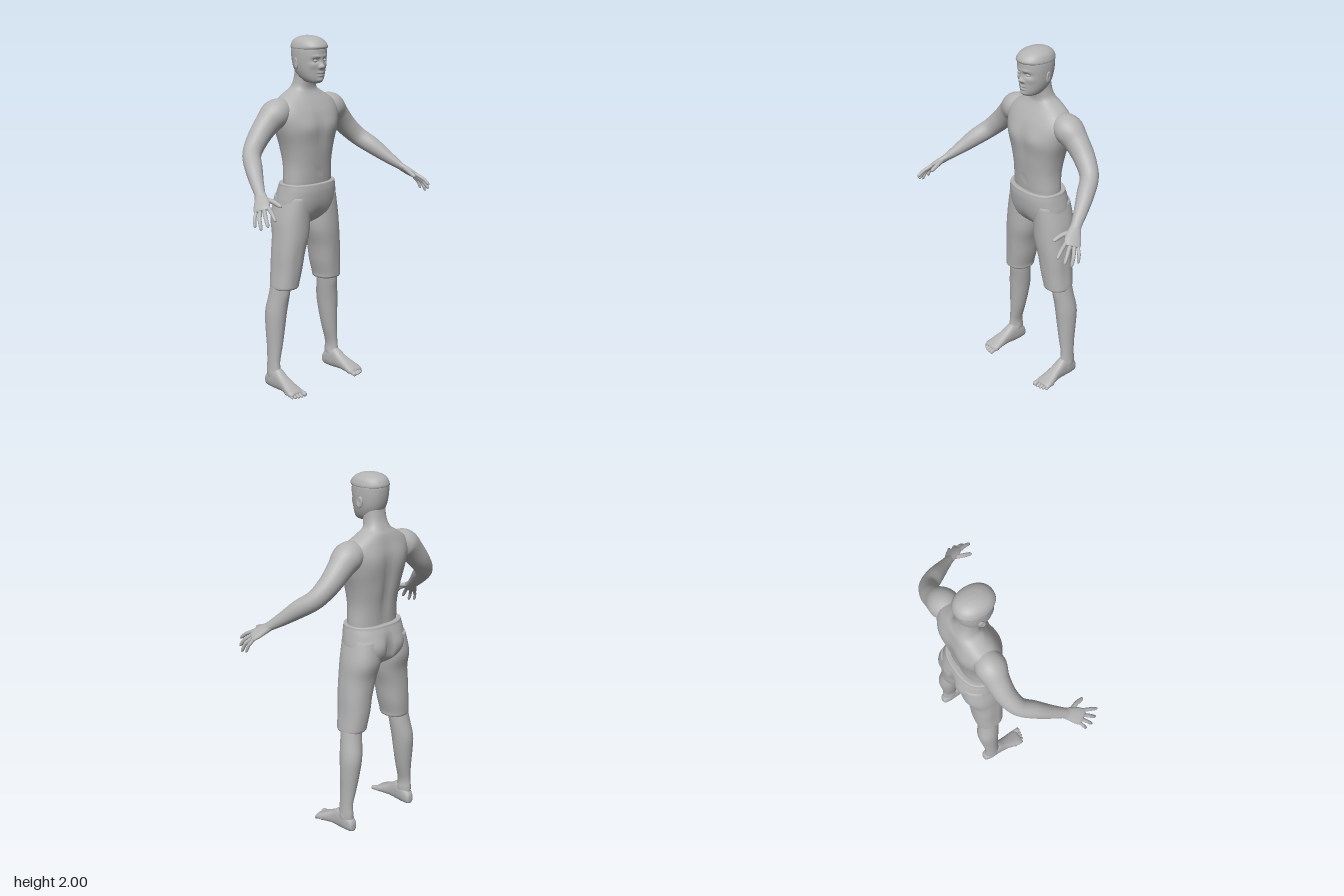
import * as THREE from 'three';

const V = (x, y, z) => new THREE.Vector3(x, y, z);
const UP = V(0, 1, 0), SIDE = V(1, 0, 0), FORWARD = V(0, 0, 1);

// Catmull-Rom resampling of section rows
function resample(rows, per) {
  const out = [], n = rows.length - 1;
  for (let i = 0; i < n; i++) {
    const [a, b, c, d] = [rows[Math.max(i - 1, 0)], rows[i], rows[i + 1], rows[Math.min(i + 2, n)]];
    for (let k = 0; k < per; k++) {
      const t = k / per;
      out.push(b.map((p, j) => {
        const cubic = 3 * (p - c[j]) + d[j] - a[j];
        const square = 2 * a[j] - 5 * p + 4 * c[j] - d[j];
        return p + 0.5 * t * (c[j] - a[j] + t * (square + t * cubic));
      }));
    }
  }
  out.push(rows[n]);
  return out;
}

// Skin over elliptical sections [x, y, z, halfWidth, halfDepth], closed at both ends
function loft(rows, { per = 4, seg = 24, ref = SIDE, axis = null, square = 1 } = {}) {
  const secs = resample(rows, per), pos = [], idx = [], n = secs.length;
  const centre = (i) => V(secs[i][0], secs[i][1], secs[i][2]);
  const power = (c) => Math.sign(c) * Math.abs(c) ** square;
  for (let i = 0; i < n; i++) {
    const c = centre(i);
    const t = axis ?? centre(Math.min(i + 1, n - 1)).sub(centre(Math.max(i - 1, 0))).normalize();
    const u = ref.clone().addScaledVector(t, -ref.dot(t)).normalize();
    const v = t.clone().cross(u);
    for (let j = 0; j < seg; j++) {
      const th = (j / seg) * Math.PI * 2;
      const p = c.clone().addScaledVector(u, secs[i][3] * power(Math.cos(th)))
        .addScaledVector(v, secs[i][4] * power(Math.sin(th)));
      pos.push(p.x, p.y, p.z);
    }
  }
  for (let i = 0; i < n - 1; i++) for (let j = 0; j < seg; j++) {
    const a = i * seg + j, b = i * seg + (j + 1) % seg;
    idx.push(a, b, a + seg, b, b + seg, a + seg);
  }
  const first = n * seg, last = (n - 1) * seg;
  pos.push(...centre(0).toArray(), ...centre(n - 1).toArray());
  for (let j = 0; j < seg; j++) {
    const k = (j + 1) % seg;
    idx.push(first, k, j, first + 1, last + j, last + k);
  }
  const g = new THREE.BufferGeometry();
  g.setAttribute('position', new THREE.Float32BufferAttribute(pos, 3));
  g.setIndex(idx);
  g.computeVertexNormals();
  return g;
}

// Upright form from rows [y, halfWidth, zFront, zBack], or [y, halfWidth, zFront, zBack, x]
const upright = (rows, opt) => loft(
  rows.map(([y, w, f, b, x = 0]) => [x, y, (f + b) / 2, w, (f - b) / 2]), { axis: UP, ...opt });

// Soft mirrored pushes: [x, y, z, radiusX, radiusY, radiusZ, moveX, moveY, moveZ]
function sculpt(g, pushes) {
  const p = g.attributes.position;
  for (let i = 0; i < p.count; i++) {
    const o = V().fromBufferAttribute(p, i), q = o.clone();
    for (const [x, y, z, rx, ry, rz, mx, my, mz] of pushes) {
      for (const s of x ? [1, -1] : [1]) {
        const k = Math.exp(-(((o.x - s * x) / rx) ** 2) - ((o.y - y) / ry) ** 2 - ((o.z - z) / rz) ** 2);
        q.add(V(s * mx * k, my * k, mz * k));
      }
    }
    p.setXYZ(i, q.x, q.y, q.z);
  }
  g.computeVertexNormals();
  return g;
}

// Copy of a geometry on the other side of the body
function mirrored(g) {
  const m = g.clone(), p = m.attributes.position, ix = m.index.array;
  for (let i = 0; i < p.count; i++) p.setX(i, -p.getX(i));
  for (let i = 0; i < ix.length; i += 3) [ix[i], ix[i + 1]] = [ix[i + 1], ix[i]];
  m.computeVertexNormals();
  return m;
}

export function createModel() {
  const grey = new THREE.MeshStandardMaterial({ color: 0xb4b4b4 });
  grey.name = 'plain grey';
  const model = new THREE.Group();
  model.name = 'standingMan';
  const add = (name, g) => {
    const m = new THREE.Mesh(g, grey);
    m.name = name;
    model.add(m);
  };
  const pair = (name, g) => {
    add('left' + name, g);
    add('right' + name, mirrored(g));
  };

  // Torso with neck: chest muscles, breastbone, spine and shoulder blades
  add('torso', sculpt(upright([
    [1.15, 0.152, -0.035, -0.215], [1.2, 0.154, -0.028, -0.215], [1.3, 0.151, -0.02, -0.225],
    [1.4, 0.168, -0.01, -0.242], [1.5, 0.2, -0.004, -0.252], [1.58, 0.215, -0.022, -0.252],
    [1.64, 0.195, -0.052, -0.24], [1.685, 0.128, -0.08, -0.228], [1.715, 0.078, -0.09, -0.213],
    [1.76, 0.062, -0.082, -0.195], [1.82, 0.06, -0.07, -0.185]], { per: 5, seg: 56, square: 0.85 }), [
    [0.085, 1.51, 0, 0.065, 0.05, 0.06, 0, 0, 0.008],
    [0, 1.5, 0, 0.025, 0.1, 0.05, 0, 0, -0.007],
    [0, 1.4, -0.24, 0.03, 0.2, 0.06, 0, 0, 0.016],
    [0.1, 1.55, -0.24, 0.06, 0.08, 0.06, 0, 0, -0.01],
    [0, 1.26, -0.02, 0.012, 0.012, 0.03, 0, 0, -0.005]]));

  // Head with modelled face
  add('head', sculpt(upright([
    [1.745, 0.022, -0.034, -0.09], [1.753, 0.043, -0.02, -0.125], [1.775, 0.061, -0.012, -0.16],
    [1.81, 0.075, -0.009, -0.185], [1.85, 0.083, -0.007, -0.2], [1.9, 0.087, -0.002, -0.208],
    [1.94, 0.085, -0.005, -0.208], [1.97, 0.072, -0.022, -0.195], [1.988, 0.045, -0.055, -0.165],
    [1.996, 0.015, -0.09, -0.13]], { per: 8, seg: 96, square: 0.92 }), [
    [0, 1.838, 0, 0.011, 0.013, 0.04, 0, 0, 0.024],
    [0, 1.862, 0, 0.009, 0.022, 0.04, 0, 0, 0.009],
    [0.015, 1.833, 0, 0.007, 0.007, 0.03, 0, 0, 0.008],
    [0.034, 1.87, -0.01, 0.019, 0.012, 0.04, 0, 0, -0.013],
    [0.03, 1.892, 0, 0.024, 0.008, 0.04, 0, 0, 0.006],
    [0.05, 1.845, -0.02, 0.02, 0.018, 0.04, 0.002, 0, 0.004],
    [0, 1.804, 0, 0.02, 0.005, 0.04, 0, 0, 0.009],
    [0, 1.796, 0, 0.026, 0.003, 0.04, 0, 0, -0.004],
    [0, 1.788, 0, 0.018, 0.005, 0.04, 0, 0, 0.008],
    [0, 1.763, -0.01, 0.022, 0.012, 0.04, 0, 0, 0.008]]));

  // Close-fitting hair with a raised lower edge
  add('hairCap', upright([
    [1.934, 0.08, -0.012, -0.2], [1.932, 0.087, 0.003, -0.211], [1.947, 0.0865, 0.008, -0.212],
    [1.974, 0.074, -0.014, -0.198], [1.992, 0.046, -0.05, -0.167], [2.0, 0.014, -0.09, -0.13]],
  { seg: 48, square: 0.92 }));

  pair('Eye', new THREE.SphereGeometry(0.011, 16, 10).scale(1.2, 0.7, 0.8).translate(0.034, 1.869, -0.02));
  const ear = new THREE.SphereGeometry(1, 20, 14).scale(0.009, 0.032, 0.019);
  pair('Ear', sculpt(ear.rotateY(0.35).rotateX(-0.15).translate(0.088, 1.852, -0.115),
    [[0.096, 1.856, -0.112, 0.01, 0.016, 0.009, -0.008, 0, 0]]));

  // Shorts: seat, waistband and two legs with gathered hems
  add('shortsSeat', sculpt(upright([
    [0.955, 0.04, -0.1, -0.19], [0.985, 0.13, -0.055, -0.235], [1.02, 0.185, -0.028, -0.258],
    [1.08, 0.19, -0.01, -0.266], [1.14, 0.181, -0.002, -0.258], [1.178, 0.174, -0.003, -0.246],
    [1.193, 0.17, -0.008, -0.24], [1.19, 0.145, -0.035, -0.21]], { per: 5, seg: 56, square: 0.85 }), [
    [0, 1.05, -0.27, 0.018, 0.075, 0.06, 0, 0, 0.03],
    [0.08, 1.07, -0.26, 0.055, 0.06, 0.05, 0, 0, -0.012],
    [0, 1.0, -0.02, 0.04, 0.04, 0.05, 0, 0, -0.01]]));
  const shortsLeg = upright([
    [0.606, 0.052, -0.085, -0.2, 0.172], [0.594, 0.068, -0.068, -0.212, 0.168],
    [0.603, 0.076, -0.056, -0.22, 0.167], [0.625, 0.077, -0.053, -0.223, 0.165],
    [0.7, 0.083, -0.046, -0.229, 0.152], [0.8, 0.09, -0.038, -0.231, 0.14], [0.9, 0.1, -0.03, -0.238, 0.12],
    [1.0, 0.1, -0.028, -0.262, 0.11], [1.12, 0.08, -0.025, -0.25, 0.1]], { per: 5, seg: 36, square: 0.9 });
  pair('ShortsLeg', sculpt(shortsLeg, [
    [0.16, 0.75, -0.04, 0.012, 0.12, 0.03, 0, 0, -0.004],
    [0.23, 0.78, -0.13, 0.03, 0.14, 0.015, -0.005, 0, 0]]));

  // Lower legs
  pair('LowerLeg', sculpt(upright([
    [0.04, 0.03, -0.115, -0.205, 0.234], [0.1, 0.032, -0.112, -0.21, 0.235],
    [0.16, 0.031, -0.118, -0.205, 0.234], [0.25, 0.042, -0.115, -0.214, 0.222],
    [0.35, 0.053, -0.11, -0.227, 0.213], [0.45, 0.06, -0.103, -0.235, 0.205],
    [0.55, 0.059, -0.095, -0.219, 0.191], [0.64, 0.056, -0.085, -0.205, 0.182]], { seg: 28 }), [
    [0.19, 0.56, -0.09, 0.03, 0.035, 0.03, 0, 0, 0.006],
    [0.268, 0.085, -0.155, 0.01, 0.015, 0.02, 0.006, 0, 0],
    [0.203, 0.095, -0.15, 0.01, 0.015, 0.02, -0.006, 0, 0]]));

  // Feet, from heel to ball: [z, x, halfWidth, top, bottom]
  pair('Foot', loft([
    [-0.222, 0.232, 0.012, 0.05, 0.018], [-0.212, 0.232, 0.025, 0.075, 0.005],
    [-0.17, 0.233, 0.034, 0.115, 0], [-0.12, 0.234, 0.035, 0.125, 0], [-0.07, 0.236, 0.037, 0.092, 0.004],
    [-0.02, 0.24, 0.045, 0.065, 0.002], [0.02, 0.242, 0.051, 0.046, 0], [0.038, 0.242, 0.048, 0.036, 0.002],
    [0.046, 0.242, 0.04, 0.028, 0.008]].map(([z, x, w, t, b]) => [x, (t + b) / 2, z, w, (t - b) / 2]),
  { axis: FORWARD, seg: 28, square: 0.85 }));
  [0.074, 0.072, 0.067, 0.06, 0.05].forEach((tip, i) => {
    const x = [0.204, 0.228, 0.247, 0.265, 0.281][i], r = i ? 0.0095 : 0.014;
    pair('Toe' + (i + 1), loft([
      [x, 0.02, tip - 0.06, r, r], [x, 0.019, tip - 0.03, r * 0.9, r * 0.9], [x, r + 0.001, tip - 0.012, r, r],
      [x, r, tip - 0.003, r * 0.75, r * 0.7], [x, r, tip, r * 0.3, r * 0.3]], { axis: FORWARD, seg: 14, per: 3 }));
  });

  // Arms, shoulder to wrist
  const across = V(-0.037, 0.025, 0.055).normalize();
  pair('Arm', loft([
    [0.13, 1.6, -0.15, 0.06, 0.06], [0.205, 1.588, -0.15, 0.083, 0.08], [0.27, 1.535, -0.155, 0.067, 0.07],
    [0.34, 1.465, -0.15, 0.058, 0.06], [0.41, 1.395, -0.12, 0.05, 0.053], [0.46, 1.34, -0.05, 0.047, 0.049],
    [0.505, 1.28, 0.025, 0.037, 0.036], [0.538, 1.236, 0.085, 0.029, 0.024],
    [0.555, 1.216, 0.11, 0.028, 0.018]], { per: 6, seg: 28, ref: across }));

  // Hands: palm, thumb and four fingers
  pair('Palm', loft([
    [0.528, 1.248, 0.068, 0.024, 0.02], [0.55, 1.22, 0.105, 0.033, 0.02], [0.575, 1.194, 0.14, 0.044, 0.018],
    [0.597, 1.174, 0.164, 0.044, 0.014], [0.604, 1.168, 0.171, 0.034, 0.008]], { ref: across }));
  const finger = (name, a, b, c, r) => pair(name, loft([
    [...a, r, r], [...a.map((s, i) => (s + b[i]) / 2), r, r], [...b, r * 0.98, r * 0.98],
    [...b.map((s, i) => s * 0.25 + c[i] * 0.75), r * 0.85, r * 0.85], [...c, r * 0.35, r * 0.35]],
  { seg: 14, ref: across }));
  finger('Thumb', [0.55, 1.22, 0.115], [0.529, 1.205, 0.18], [0.52, 1.185, 0.23], 0.0125);
  finger('IndexFinger', [0.572, 1.192, 0.18], [0.59, 1.163, 0.235], [0.6, 1.132, 0.272], 0.0105);
  finger('MiddleFinger', [0.588, 1.18, 0.17], [0.615, 1.142, 0.215], [0.626, 1.102, 0.245], 0.0108);
  finger('RingFinger', [0.6, 1.172, 0.155], [0.632, 1.13, 0.188], [0.642, 1.082, 0.21], 0.0102);
  finger('LittleFinger', [0.608, 1.168, 0.138], [0.637, 1.13, 0.155], [0.646, 1.09, 0.168], 0.0092);

  return model;
}
